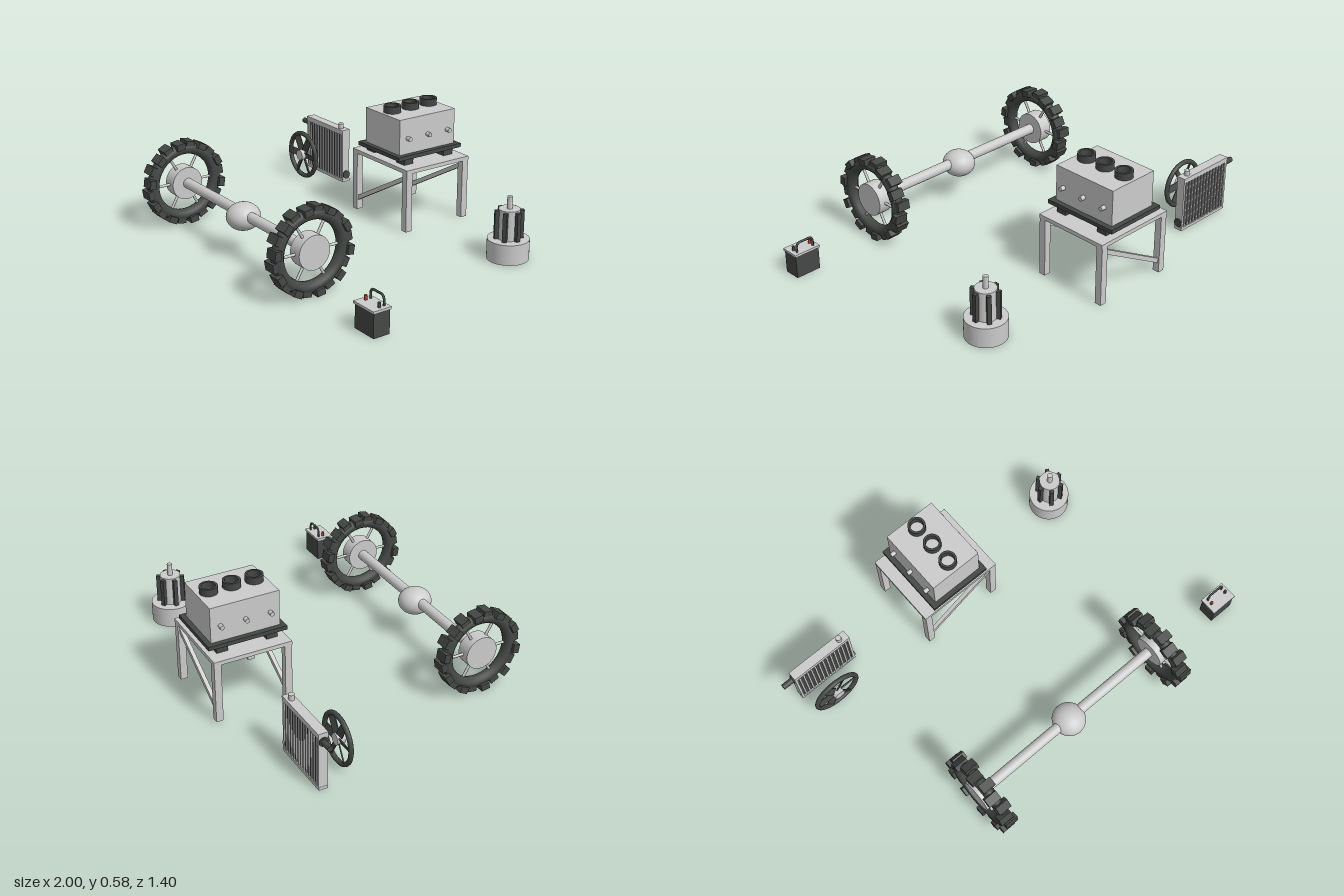
import * as THREE from 'three';

const grey = new THREE.MeshStandardMaterial({ color: 0xcccccc });
const dark = new THREE.MeshStandardMaterial({ color: 0x444845 });
const red = new THREE.MeshStandardMaterial({ color: 0xaa4433 });

function add(parent, name, geometry, material, x = 0, y = 0, z = 0) {
  const mesh = new THREE.Mesh(geometry, material);
  mesh.name = name;
  mesh.position.set(x, y, z);
  parent.add(mesh);
  return mesh;
}
function group(parent, name, x = 0, y = 0, z = 0) {
  const g = new THREE.Group();
  g.name = name;
  g.position.set(x, y, z);
  parent.add(g);
  return g;
}
const box = (w, h, d) => new THREE.BoxGeometry(w, h, d);
const cyl = (r, h, n = 24) => new THREE.CylinderGeometry(r, r, h, n);
const cylX = (r, h, n = 24) => cyl(r, h, n).rotateZ(Math.PI / 2);
const cylZ = (r, h, n = 24) => cyl(r, h, n).rotateX(Math.PI / 2);

// Wheel built around z, then turned so its axis lies along x
function addWheel(parent, x) {
  const wheel = group(parent, 'wheel', x, 0.2125, 0.487);
  wheel.rotation.y = Math.PI / 2;
  add(wheel, 'tyre', new THREE.TorusGeometry(0.172, 0.029, 12, 48), dark);
  add(wheel, 'hub', cylZ(0.082, 0.07, 32), grey);
  for (let i = 0; i < 6; i++) {
    const a = i * Math.PI / 3;
    const spoke = add(wheel, 'spoke', cylX(0.007, 0.08, 8), grey, 0.115 * Math.cos(a), 0.115 * Math.sin(a));
    spoke.rotation.z = a;
  }
  // Staggered tread blocks
  for (let i = 0; i < 20; i++) {
    const a = (i + 0.5) * Math.PI / 10;
    const block = add(wheel, 'treadBlock', box(0.032, 0.045, 0.068), dark,
      0.195 * Math.cos(a), 0.195 * Math.sin(a), i % 2 ? 0.009 : -0.009);
    block.rotation.z = a;
  }
}

function addAxle(root) {
  const axle = group(root, 'axleAssembly');
  add(axle, 'axleTube', cylX(0.026, 1.09), grey, -0.06, 0.2125, 0.485);
  add(axle, 'differential', new THREE.SphereGeometry(1, 32, 20).scale(0.081, 0.067, 0.083), grey, -0.062, 0.2, 0.485);
  for (const x of [-0.607, 0.484]) addWheel(axle, x);
}

function addStand(root) {
  const stand = group(root, 'engineStand', -0.06, 0, -0.505);
  add(stand, 'standTop', box(0.44, 0.02, 0.39), grey, 0, 0.31, 0);
  for (const sx of [-1, 1])
    for (const sz of [-1, 1])
      add(stand, 'standLeg', box(0.035, 0.3, 0.035), grey, sx * 0.2, 0.15, sz * 0.177);
  // Diagonal braces, front and back
  for (const z of [-0.177, 0.177]) {
    const brace = add(stand, 'brace', box(0.46, 0.022, 0.02), grey, 0, 0.165, z);
    brace.rotation.z = Math.atan2(0.22, 0.39);
  }
}

function addEngine(root) {
  const engine = group(root, 'engine', -0.063, 0, -0.503);
  for (const x of [-0.12, 0.12])
    for (const z of [-0.125, 0.125])
      add(engine, 'mount', box(0.06, 0.035, 0.056), dark, x, 0.336, z);
  add(engine, 'baseFlange', box(0.325, 0.02, 0.394), dark, 0, 0.361, 0);
  add(engine, 'block', box(0.272, 0.18, 0.345), grey, 0, 0.46, 0);
  // Hollow cylinder collars on top
  const ring = [[0.032, 0], [0.043, 0], [0.043, 0.036], [0.032, 0.036], [0.032, 0]].map(p => new THREE.Vector2(...p));
  const collar = new THREE.LatheGeometry(ring, 32).toNonIndexed();
  collar.computeVertexNormals();
  for (const i of [-1, 0, 1]) {
    add(engine, 'cylinderCollar', collar, dark, 0, 0.549, i * 0.114);
    for (const s of [-1, 1]) add(engine, 'sparkPlug', cylX(0.011, 0.03, 12), grey, s * 0.146, 0.45, i * 0.124);
  }
}

function addRadiator(root) {
  const radiator = group(root, 'radiator', -0.775, 0, -0.51);
  add(radiator, 'core', box(0.31, 0.27, 0.03), dark, 0, 0.14, 0);
  add(radiator, 'topTank', box(0.33, 0.025, 0.048), grey, 0, 0.278, 0);
  add(radiator, 'bottomTank', box(0.33, 0.015, 0.044), grey, 0, 0.0075, 0);
  for (const s of [-1, 1]) add(radiator, 'sidePost', box(0.012, 0.27, 0.044), grey, s * 0.158, 0.14, 0);
  for (let i = 0; i < 13; i++) add(radiator, 'fin', box(0.009, 0.26, 0.042), grey, -0.138 + i * 0.023, 0.14, 0);
  add(radiator, 'fillerCap', cyl(0.014, 0.03, 16), grey, 0.12, 0.302, 0);
  add(radiator, 'inletPipe', cylX(0.014, 0.07, 16), dark, -0.19, 0.248, 0);
  add(radiator, 'pipeCollar', cylX(0.022, 0.014, 16), dark, -0.163, 0.248, 0);
  add(radiator, 'outletPipe', cylX(0.022, 0.02, 16), dark, 0.16, 0.04, 0);
}

function addFan(root) {
  const fan = group(root, 'fan', -0.805, 0.129, -0.366);
  add(fan, 'fanRing', new THREE.TorusGeometry(0.117, 0.012, 10, 40), dark);
  add(fan, 'fanHub', cylZ(0.028, 0.04), grey, 0, 0, 0.006);
  for (let i = 0; i < 6; i++) {
    const arm = group(fan, 'fanBlade');
    arm.rotation.z = i * Math.PI / 3;
    const blade = add(arm, 'blade', box(0.095, 0.035, 0.006), dark, 0.066);
    blade.rotation.x = 0.4;
  }
}

function addGenerator(root) {
  const unit = group(root, 'finnedMotor', 0.68, 0, -0.503);
  add(unit, 'motorBase', cyl(0.1, 0.1, 40), grey, 0, 0.05, 0);
  add(unit, 'motorBody', cyl(0.051, 0.15, 32), grey, 0, 0.172, 0);
  add(unit, 'shaft', cyl(0.013, 0.07, 16), grey, 0, 0.272, 0);
  for (let i = 0; i < 6; i++) {
    const arm = group(unit, 'coolingFin');
    arm.rotation.y = i * Math.PI / 3;
    add(arm, 'fin', box(0.025, 0.14, 0.02), dark, 0.057, 0.17, 0);
  }
}

function addBattery(root) {
  const battery = group(root, 'battery', 0.93, 0, 0.485);
  add(battery, 'case', box(0.13, 0.116, 0.084), dark, 0, 0.058, 0);
  add(battery, 'lid', box(0.14, 0.012, 0.094), grey, 0, 0.12, 0);
  add(battery, 'positiveTerminal', cyl(0.007, 0.025, 12), red, -0.046, 0.136, 0);
  add(battery, 'negativeTerminal', cyl(0.007, 0.025, 12), dark, 0.046, 0.136, 0);
  const path = new THREE.CatmullRomCurve3([
    [-0.045, 0.12], [-0.045, 0.155], [-0.035, 0.171], [0, 0.173], [0.035, 0.171], [0.045, 0.155], [0.045, 0.12],
  ].map(([x, y]) => new THREE.Vector3(x, y, -0.026)));
  add(battery, 'handle', new THREE.TubeGeometry(path, 32, 0.0055, 8), dark);
}

export function createModel() {
  const root = new THREE.Group();
  root.name = 'vehicleParts';
  for (const build of [addAxle, addStand, addEngine, addRadiator, addFan, addGenerator, addBattery]) build(root);
  return root;
}
